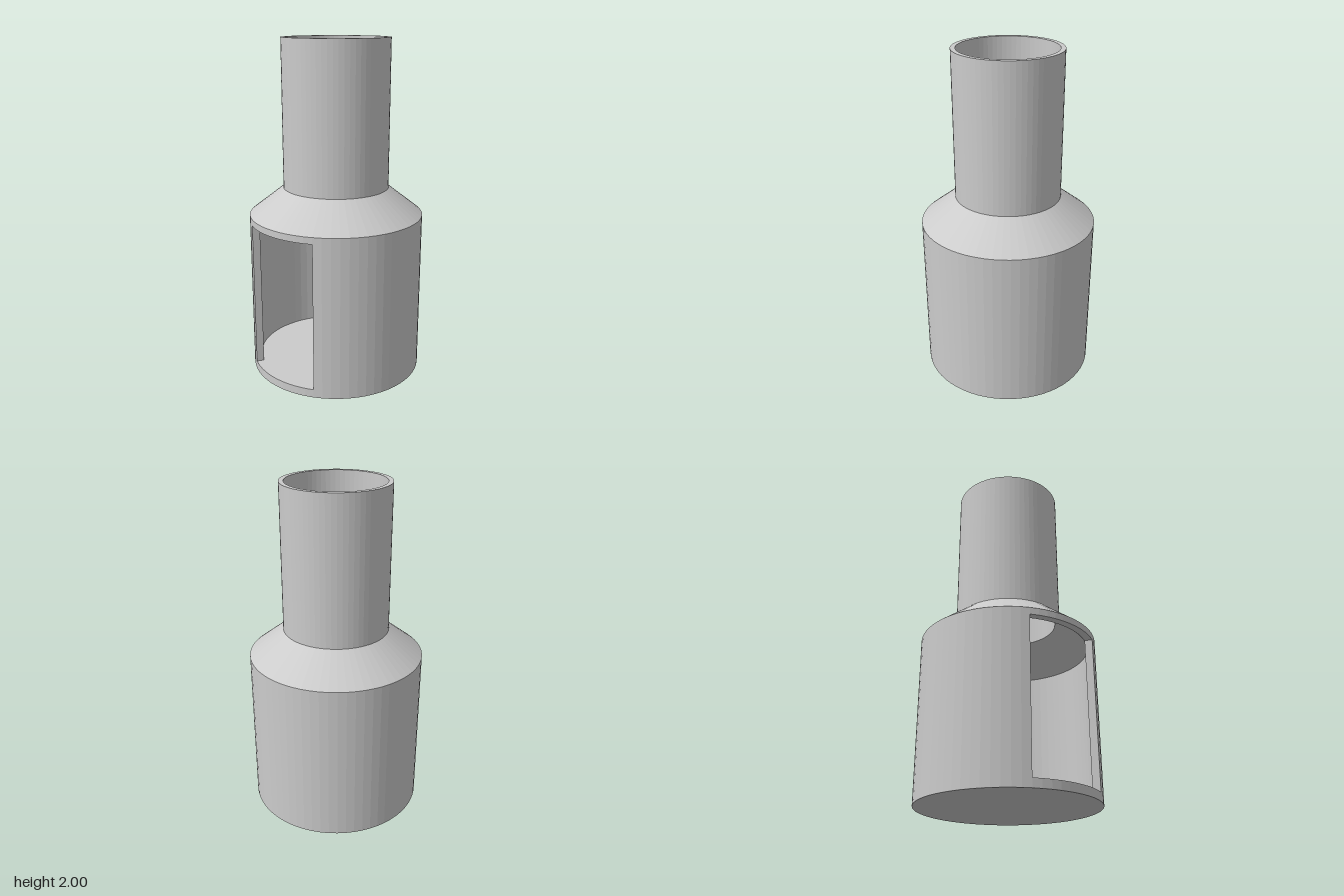
import * as THREE from 'three';

const SEGMENTS = 64;
const STEP = (Math.PI * 2) / SEGMENTS;
const OUTER = 0.52, INNER = 0.475;             // body wall radii
const NECK_OUTER = 0.315, NECK_INNER = 0.287;  // neck wall radii
const SILL = 0.05, LINTEL = 0.93;              // window bottom and top
const HALF = 5;                                // half window width, in segments

const material = new THREE.MeshStandardMaterial({
  color: 0xcccccc, flatShading: true, side: THREE.DoubleSide,
});

// Revolve a [radius, height] profile, running up the outside and down the inside
function revolve(name, profile, segments = SEGMENTS, start = 0) {
  const points = profile.map(([r, y]) => new THREE.Vector2(r, y));
  const geometry = new THREE.LatheGeometry(points, segments, start, segments * STEP);
  const mesh = new THREE.Mesh(geometry, material);
  mesh.name = name;
  return mesh;
}

export function createModel() {
  const model = new THREE.Group();
  model.name = 'steppedTube';

  // Solid floor disc
  model.add(revolve('floor', [[0, 0], [OUTER, 0], [OUTER, SILL], [0, SILL]]));

  // Body wall, left open around -x for the window
  model.add(revolve('bodyWall',
    [[INNER, SILL], [OUTER, SILL], [OUTER, LINTEL], [INNER, LINTEL], [INNER, SILL]],
    SEGMENTS - 2 * HALF, Math.PI * 1.5 + HALF * STEP));

  // Radial faces closing the wall at both sides of the window
  for (const side of [-1, 1]) {
    const jamb = new THREE.Mesh(
      new THREE.PlaneGeometry(OUTER - INNER, LINTEL - SILL), material);
    const angle = Math.PI + side * HALF * STEP;
    const radius = (OUTER + INNER) / 2;
    jamb.position.set(Math.cos(angle) * radius, (SILL + LINTEL) / 2, -Math.sin(angle) * radius);
    jamb.rotation.y = angle;
    jamb.name = side < 0 ? 'windowJambBack' : 'windowJambFront';
    model.add(jamb);
  }

  // Collar above the window, sloping shoulder and hollow neck
  model.add(revolve('shoulderAndNeck', [
    [INNER, LINTEL], [OUTER, LINTEL], [OUTER, 0.97],
    [NECK_OUTER, 1.13], [NECK_OUTER, 2],
    [NECK_INNER, 2], [NECK_INNER, 1.11], [INNER, LINTEL],
  ]));

  return model;
}
